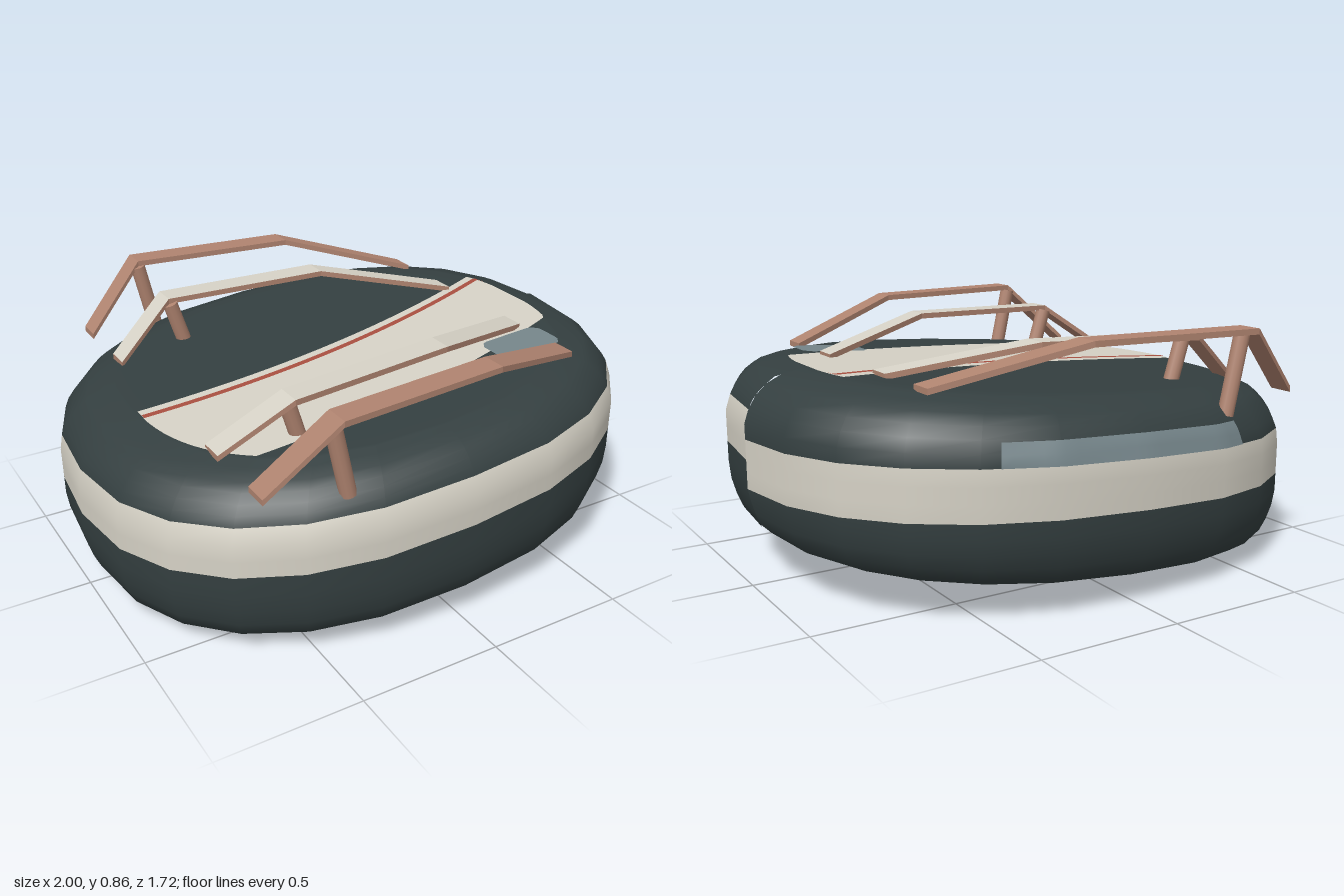
import * as THREE from 'three';

const mat = (name, color) => {
  const m = new THREE.MeshStandardMaterial({ color });
  m.name = name;
  return m;
};
const lerp = THREE.MathUtils.lerp;

// Linear lookup in a short list of [key, value] pairs with rising keys
function lookup(table, k) {
  let i = 1;
  while (i < table.length - 1 && k > table[i][0]) i++;
  const [k0, v0] = table[i - 1], [k1, v1] = table[i];
  return lerp(v0, v1, THREE.MathUtils.clamp((k - k0) / (k1 - k0), 0, 1));
}

// Surface from f(u, v) with u, v in 0..1; rows are stored one after another
function grid(f, nu, nv) {
  const pos = [], idx = [];
  for (let j = 0; j <= nv; j++)
    for (let i = 0; i <= nu; i++) pos.push(...f(i / nu, j / nv, i, j));
  for (let j = 0; j < nv; j++)
    for (let i = 0; i < nu; i++) {
      const a = j * (nu + 1) + i, b = a + nu + 1;
      idx.push(a, b, a + 1, b, b + 1, a + 1);
    }
  const g = new THREE.BufferGeometry();
  g.setAttribute('position', new THREE.Float32BufferAttribute(pos, 3));
  g.setIndex(idx);
  g.computeVertexNormals();
  return g;
}

// Body shape: rounded-oval plan, pillow profile, sheared so the left side is higher
const HALF = 0.303, CAP = 0.78, DEPTH = 0.86, SIDES = 24, POWER = 0.843;
const midY = x => 0.363 + 0.072 * x;
const PROFILE = [ // height from the middle -> plan scale
  [-HALF, CAP], [-0.275, 0.90], [-0.24, 0.955], [-0.17, 0.985], [-0.1, 1],
  [0.13, 1], [0.19, 0.975], [0.235, 0.94], [0.274, 0.89], [HALF, CAP],
];
const BAND_LOW = [[0, 0], [0.25, 0.022], [0.5, -0.01], [0.75, -0.035], [1, -0.1]];
const BAND_WIDTH = 0.168;

const corner = i => {
  const a = (i / SIDES) * Math.PI * 2, c = Math.cos(a), s = Math.sin(a);
  return [Math.sign(c) * Math.abs(c) ** POWER, DEPTH * Math.sign(s) * Math.abs(s) ** POWER];
};
// Point on the faceted plan outline, t = 0..1 around
function plan(t) {
  const k = t * SIDES, i = Math.floor(k), p = corner(i), q = corner(i + 1);
  return [lerp(p[0], q[0], k - i), lerp(p[1], q[1], k - i)];
}
function bodyPoint(t, dy, scale, off = 0) {
  const [px, pz] = plan(t);
  const x = px * (scale + off), z = pz * (scale + off);
  return [x, midY(x) + dy, z];
}

function bodyGeometry() {
  const nLow = 9, nBand = 3, nTop = 9; // rows in each colour zone
  const row = (t, j) => {
    const lo = lookup(BAND_LOW, t), hi = lo + BAND_WIDTH;
    if (j < 2) return [-HALF, j * 0.72];
    if (j > nLow + nBand + nTop - 2) return [HALF, (nLow + nBand + nTop - j) * 0.72];
    let dy;
    if (j <= nLow) dy = lerp(lo, -HALF, Math.sin(((nLow - j) / (nLow - 2)) * Math.PI / 2));
    else if (j <= nLow + nBand) dy = lerp(lo, hi, (j - nLow) / nBand);
    else dy = lerp(hi, HALF, Math.sin(((j - nLow - nBand) / (nTop - 2)) * Math.PI / 2));
    return [dy, lookup(PROFILE, dy)];
  };
  const g = grid((u, v, i, j) => bodyPoint(u, ...row(u, j)), SIDES, nLow + nBand + nTop);
  const perRow = SIDES * 6;
  g.addGroup(0, nLow * perRow, 0);
  g.addGroup(nLow * perRow, nBand * perRow, 1);
  g.addGroup((nLow + nBand) * perRow, nTop * perRow, 0);
  return g;
}

// Painted ribbon across the top (side 1) or underside (side -1), trimmed to the flat cap
const sweep = x => 0.01 - 0.135 * (x + 0.6) ** 2;
function ribbon(z0, z1, side, lift) {
  return grid((u, v) => {
    const x = 0.777 * Math.sin((u - 0.5) * Math.PI) * side;
    const e = 2 / POWER;
    const lim = CAP * DEPTH * Math.max(0, 1 - Math.abs(x / CAP) ** e) ** (1 / e);
    const z = THREE.MathUtils.clamp(sweep(x) + lerp(z0, z1, v), -lim, lim);
    return [x, midY(x) + side * (HALF + lift), z];
  }, 48, 1);
}

// Small rounded plate that follows the curve of the cap edge
function badge(side) {
  return grid((u, v) => {
    const w = 2 * u - 1;
    const x = 0.535 + 0.125 * w * side;
    const half = 0.08 - 0.03 * Math.max(0, (Math.abs(w) - 0.75) / 0.25) ** 2;
    const z = 0.38 + half * (2 * v - 1);
    const e = 2 / POWER;
    const s = (Math.abs(x) ** e + (z / DEPTH) ** e) ** (1 / e);
    const drop = Math.max(0, s - CAP) * 0.26;
    return [x, midY(x) + side * (HALF - drop + 0.008), z];
  }, 16, 6);
}

// Bent flat rail: a box whose four cross-sections follow a path of [x, y, z]
function railGeometry(path) {
  const box = new THREE.BoxGeometry(3, 2, 2, 3, 1, 1);
  const p = box.attributes.position;
  for (let i = 0; i < p.count; i++) {
    const [x, y, z] = path[Math.round(p.getX(i) + 1.5)];
    p.setXYZ(i, x, y + p.getY(i) * 0.01, z + p.getZ(i) * 0.045);
  }
  const g = box.toNonIndexed();
  g.computeVertexNormals();
  return g;
}

// Round post between two points
function postGeometry(a, b, r) {
  const A = new THREE.Vector3(...a), B = new THREE.Vector3(...b);
  const d = B.clone().sub(A);
  const g = new THREE.CylinderGeometry(r, r, d.length(), 12);
  g.applyQuaternion(new THREE.Quaternion().setFromUnitVectors(new THREE.Vector3(0, 1, 0), d.normalize()));
  const m = A.add(B).multiplyScalar(0.5);
  return g.translate(m.x, m.y, m.z);
}

export function createModel() {
  const model = new THREE.Group();
  model.name = 'model';
  const dark = mat('dark slate', 0x343f40);
  const cream = mat('cream', 0xd6d2c6);
  const copper = mat('copper', 0xb08470);
  const red = mat('brick red', 0xa84f40);
  const grey = mat('blue grey', 0x75858a);
  const add = (name, geometry, material) => {
    const mesh = new THREE.Mesh(geometry, material);
    mesh.name = name;
    model.add(mesh);
  };

  // Pillow body with its side band
  add('body', bodyGeometry(), [dark, cream]);

  // Painted panels on both flat faces
  for (const [face, side] of [['top', 1], ['bottom', -1]]) {
    add(face + 'Panel', ribbon(0, 0.49, side, 0.003), cream);
    add(face + 'Stripe', ribbon(0.036, 0.06, side, 0.005), red);
    add(face + 'Badge', badge(side), grey);
  }

  // Grey strip on the back, just above the band
  add('backStrip', grid((u, v) => {
    const t = lerp(0.69, 0.823, u);
    const dy = lookup(BAND_LOW, t) + BAND_WIDTH + 0.075 * v;
    return bodyPoint(t, dy, lookup(PROFILE, dy), 0.006);
  }, 24, 4), grey);

  // Rails and their posts, mirrored front and back
  for (const [end, s] of [['front', 1], ['back', -1]]) {
    add(end + 'OuterRail', railGeometry([
      [-0.69, 0.62, 0.70 * s], [-0.46, 0.847, 0.775 * s], [0.15, 0.847, 0.71 * s], [0.62, 0.715, 0.51 * s],
    ]), copper);
    add(end + 'OuterPost', postGeometry([-0.40, 0.56, 0.74 * s], [-0.46, 0.835, 0.74 * s], 0.028), copper);
    add(end + 'InnerRail', railGeometry([
      [-0.69, 0.62, 0.40 * s], [-0.46, 0.79, 0.485 * s], [0.15, 0.805, 0.42 * s], [0.62, 0.715, 0.22 * s],
    ]), [copper, copper, cream, copper, copper, copper]);
    add(end + 'InnerPost', postGeometry([-0.40, 0.60, 0.445 * s], [-0.455, 0.78, 0.445 * s], 0.028), copper);
  }
  return model;
}
